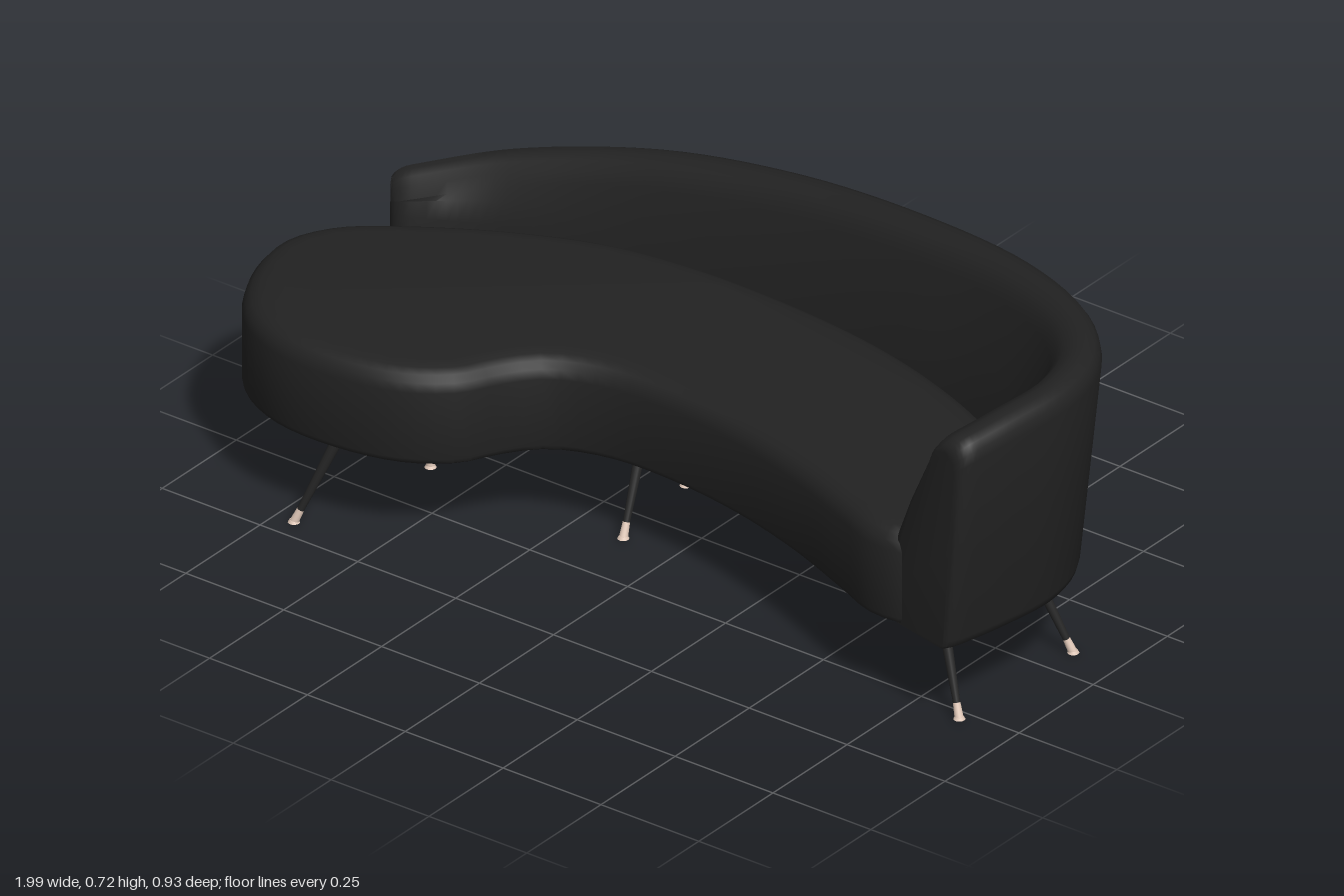
import * as THREE from 'three';
import { toCreasedNormals } from 'three/addons/utils/BufferGeometryUtils.js';

const BASE = 0.2;
const fabric = new THREE.MeshStandardMaterial({ color: 0x222222 });
const legPaint = new THREE.MeshStandardMaterial({ color: 0x262626 });
const brass = new THREE.MeshStandardMaterial({ color: 0xe0c8b8 });

// Skin a stack of closed rings and cap both ends; toFlat projects a ring point to 2D
function loft(rings, toFlat, crease) {
  const pos = [];
  const tri = (a, b, c) => [a, b, c].forEach((p) => pos.push(p.x, p.y, p.z));
  const n = rings[0].length;
  for (let i = 0; i < rings.length - 1; i++) {
    for (let j = 0; j < n; j++) {
      const k = (j + 1) % n;
      const [a, b, c, d] = [rings[i][j], rings[i][k], rings[i + 1][j], rings[i + 1][k]];
      tri(a, b, c);
      tri(b, d, c);
    }
  }
  [rings[0], rings[rings.length - 1]].forEach((ring, end) => {
    const flat = ring.map((p) => toFlat(p, end));
    const turn = Math.sign(THREE.ShapeUtils.area(flat));
    for (const [a, b, c] of THREE.ShapeUtils.triangulateShape(flat, [])) {
      const same = Math.sign(THREE.ShapeUtils.area([flat[a], flat[b], flat[c]])) === turn;
      if (same === (end === 1)) tri(ring[a], ring[b], ring[c]);
      else tri(ring[a], ring[c], ring[b]);
    }
  });
  const geo = new THREE.BufferGeometry();
  geo.setAttribute('position', new THREE.Float32BufferAttribute(pos, 3));
  return toCreasedNormals(geo, crease);
}

// Kidney-shaped cushion: one plan outline, inset a little at the bottom and top edges
function makeSeat() {
  const plan = [
    [-1, 0.1], [-0.975, 0.24], [-0.89, 0.37], [-0.77, 0.435], [-0.62, 0.448], [-0.46, 0.415],
    [-0.36, 0.345], [-0.31, 0.26], [-0.25, 0.19], [-0.14, 0.147], [0, 0.14], [0.2, 0.165],
    [0.4, 0.22], [0.57, 0.287], [0.68, 0.33], [0.77, 0.32], [0.82, 0.2], [0.83, 0.05],
    [0.77, -0.06], [0.6, -0.17], [0.4, -0.25], [0.2, -0.3], [-0.05, -0.325], [-0.25, -0.325],
    [-0.45, -0.295], [-0.65, -0.215], [-0.85, -0.095], [-0.95, -0.01],
  ].map(([x, z]) => new THREE.Vector3(x, 0, z));
  const curve = new THREE.CatmullRomCurve3(plan, true);
  const N = 120;
  const levels = [
    [0.012, BASE], [0.003, 0.206], [0, 0.216], [0, 0.37], [0.006, 0.39],
    [0.018, 0.404], [0.035, 0.412], [0.06, 0.416],
  ];
  const rings = levels.map(([inset, y]) => Array.from({ length: N }, (_, i) => {
    const p = curve.getPointAt(i / N);
    const t = curve.getTangentAt(i / N);
    return new THREE.Vector3(p.x + t.z * inset, y, p.z - t.x * inset);
  }));
  return loft(rings, (p) => new THREE.Vector2(p.x, p.z), 0.7);
}

// Backrest wrapping into the arm: a leaning section swept along the outer edge.
// The path's y is the height of the back at that place.
function makeBack() {
  const path = new THREE.CatmullRomCurve3([
    [-0.93, 0.475, -0.185], [-0.72, 0.535, -0.315], [-0.42, 0.593, -0.415], [-0.1, 0.632, -0.45],
    [0.23, 0.663, -0.43], [0.58, 0.694, -0.355], [0.82, 0.712, -0.235], [0.95, 0.72, -0.09],
    [0.993, 0.72, 0.06], [0.978, 0.713, 0.22], [0.945, 0.695, 0.367],
  ].map((p) => new THREE.Vector3(...p)));
  const widths = [0.09, 0.12, 0.14, 0.15, 0.157, 0.175, 0.197, 0.203, 0.23];
  const length = path.getLength();
  const round = 0.04;
  const N = 72;
  const rings = [];
  for (let i = 0; i <= N; i++) {
    const u = (1 - Math.cos((Math.PI * i) / N)) / 2;
    const p = path.getPointAt(u);
    const t = path.getTangentAt(u).setY(0).normalize();
    const f = Math.min(u * (widths.length - 1), widths.length - 1.001);
    const k = Math.floor(f);
    const w = THREE.MathUtils.lerp(widths[k], widths[k + 1], f - k);
    const h = p.y;
    const lean = 0.09 * (h - BASE);
    const top = Math.min(0.1, w * 0.7); // inner edge of the padded top
    const section = [
      [lean + 0.012, BASE], [lean + 0.002, 0.207], [lean * 0.95, 0.222],
      [lean * 0.45, BASE + (h - BASE) * 0.5], [0, h - 0.045], [0.004, h - 0.024],
      [0.014, h - 0.009], [top * 0.32, h - 0.001], [top * 0.55, h - 0.002], [top * 0.78, h - 0.012],
      [top * 0.94, h - 0.03], [top + 0.006, h - 0.055],
      [THREE.MathUtils.lerp(top, w, 0.6), THREE.MathUtils.lerp(h, 0.4, 0.62)],
      [w, 0.4], [w + 0.01, 0.3], [w + 0.015, 0.215], [w + 0.005, BASE],
    ];
    // soften both ends
    const d = Math.min(u, 1 - u) * length;
    const s = d < round ? Math.sqrt(1 - (1 - d / round) ** 2) : 1;
    const shrink = 1 - (0.03 / (w / 2)) * (1 - s);
    const drop = 1 - 0.06 * (1 - s);
    rings.push(section.map(([a, y]) => {
      const inset = w / 2 + (a - w / 2) * shrink;
      return new THREE.Vector3(p.x - t.z * inset, BASE + (y - BASE) * drop, p.z + t.x * inset);
    }));
  }
  // flatten each end cap along its own inward direction
  const toFlat = (p, end) => {
    const t = path.getTangentAt(end).setY(0).normalize();
    return new THREE.Vector2(-t.z * p.x + t.x * p.z, p.y);
  };
  return loft(rings, toFlat, 0.7);
}

// Tapered splayed leg with a flared metal foot
function makeLeg(x, z, topX, topZ) {
  const leg = new THREE.Group();
  leg.name = 'leg';
  const foot = new THREE.Vector3(x, 0, z);
  const axis = new THREE.Vector3(topX, BASE + 0.01, topZ).sub(foot);
  const dir = axis.clone().normalize();
  const ankle = 0.032;
  const len = axis.length() - ankle;
  const shaft = new THREE.Mesh(new THREE.CylinderGeometry(0.013, 0.0075, len, 16), legPaint);
  shaft.name = 'legShaft';
  shaft.quaternion.setFromUnitVectors(new THREE.Vector3(0, 1, 0), dir);
  shaft.position.copy(foot).addScaledVector(dir, ankle + len / 2);
  const ferrule = new THREE.Mesh(new THREE.CylinderGeometry(0.0078, 0.0095, ankle, 16), brass);
  ferrule.name = 'legFerrule';
  ferrule.quaternion.copy(shaft.quaternion);
  ferrule.position.copy(foot).addScaledVector(dir, ankle / 2 + 0.002);
  const pad = new THREE.Mesh(new THREE.CylinderGeometry(0.009, 0.0125, 0.006, 16), brass);
  pad.name = 'footPad';
  pad.position.set(x, 0.003, z);
  leg.add(shaft, ferrule, pad);
  return leg;
}

export function createModel() {
  const sofa = new THREE.Group();
  sofa.name = 'curvedSofa';

  const seat = new THREE.Mesh(makeSeat(), fabric);
  seat.name = 'seat';
  const back = new THREE.Mesh(makeBack(), fabric);
  back.name = 'backrestAndArm';
  sofa.add(seat, back);

  // foot x, foot z, top x, top z
  const legs = [
    [-0.96, -0.195, -0.87, -0.165], [-0.7, 0.452, -0.62, 0.4], [-0.615, 0.103, -0.615, 0.103],
    [-0.15, -0.452, -0.15, -0.355], [-0.125, 0.1, -0.145, 0.0], [-0.155, -0.15, -0.155, -0.155],
    [0.42, -0.105, 0.42, -0.105], [0.87, 0.28, 0.79, 0.235], [0.89, -0.078, 0.8, -0.038],
  ];
  legs.forEach((l) => sofa.add(makeLeg(...l)));
  return sofa;
}
